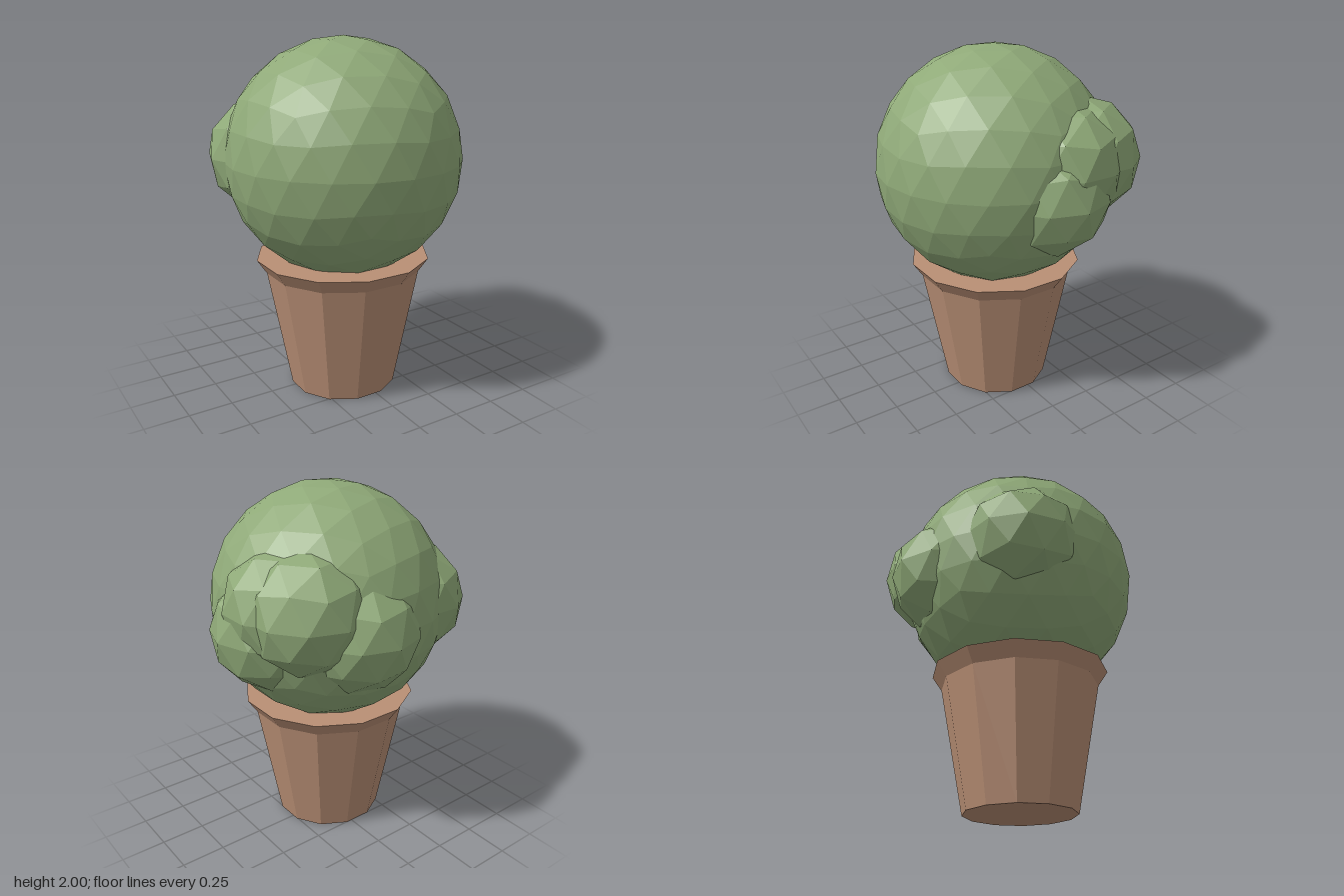
import * as THREE from 'three';

export function createModel() {
  const model = new THREE.Group();
  const leaf = new THREE.MeshStandardMaterial({ color: 0x8fa978, flatShading: true });
  leaf.name = 'leaf green';
  const clay = new THREE.MeshStandardMaterial({ color: 0xb98f75, flatShading: true });
  clay.name = 'terracotta';

  // Faceted ball with a vertex at each pole
  function ball(name, x, y, z, r, detail, turn = 0) {
    const geo = new THREE.IcosahedronGeometry(r, detail);
    geo.rotateZ(-Math.atan(2 / (1 + Math.sqrt(5))));
    geo.rotateY(turn);
    const mesh = new THREE.Mesh(geo, leaf);
    mesh.name = name;
    mesh.position.set(x, y, z);
    model.add(mesh);
  }

  // Large crown and the smaller clumps growing out of its sides and back
  ball('crown', -0.04, 1.34, 0.04, 0.66, 3);
  const clumps = [
    ['leftClump', 0.38, 1.27, -0.02, Math.PI / 10],
    ['upperLeftClump', 0.36, 1.42, -0.12, 0],
    ['backLeftClump', 0.32, 1.42, -0.27, 0],
    ['backClump', 0.08, 1.30, -0.37, 0],
    ['rightClump', -0.38, 1.35, -0.23, Math.PI / 10],
  ];
  for (const [name, x, y, z, turn] of clumps) ball(name, x, y, z, 0.33, 1, turn);

  // Twelve-sided tapered pot with flared rim and closed top
  const profile = [[0, 0], [0.31, 0], [0.445, 0.7], [0.5, 0.78], [0, 0.78]]
    .map(([r, y]) => new THREE.Vector2(r, y));
  const pot = new THREE.Mesh(new THREE.LatheGeometry(profile, 12, Math.PI / 12), clay);
  pot.name = 'pot';
  pot.position.set(-0.045, 0, 0.04);
  pot.scale.z = 0.975;
  model.add(pot);

  return model;
}
